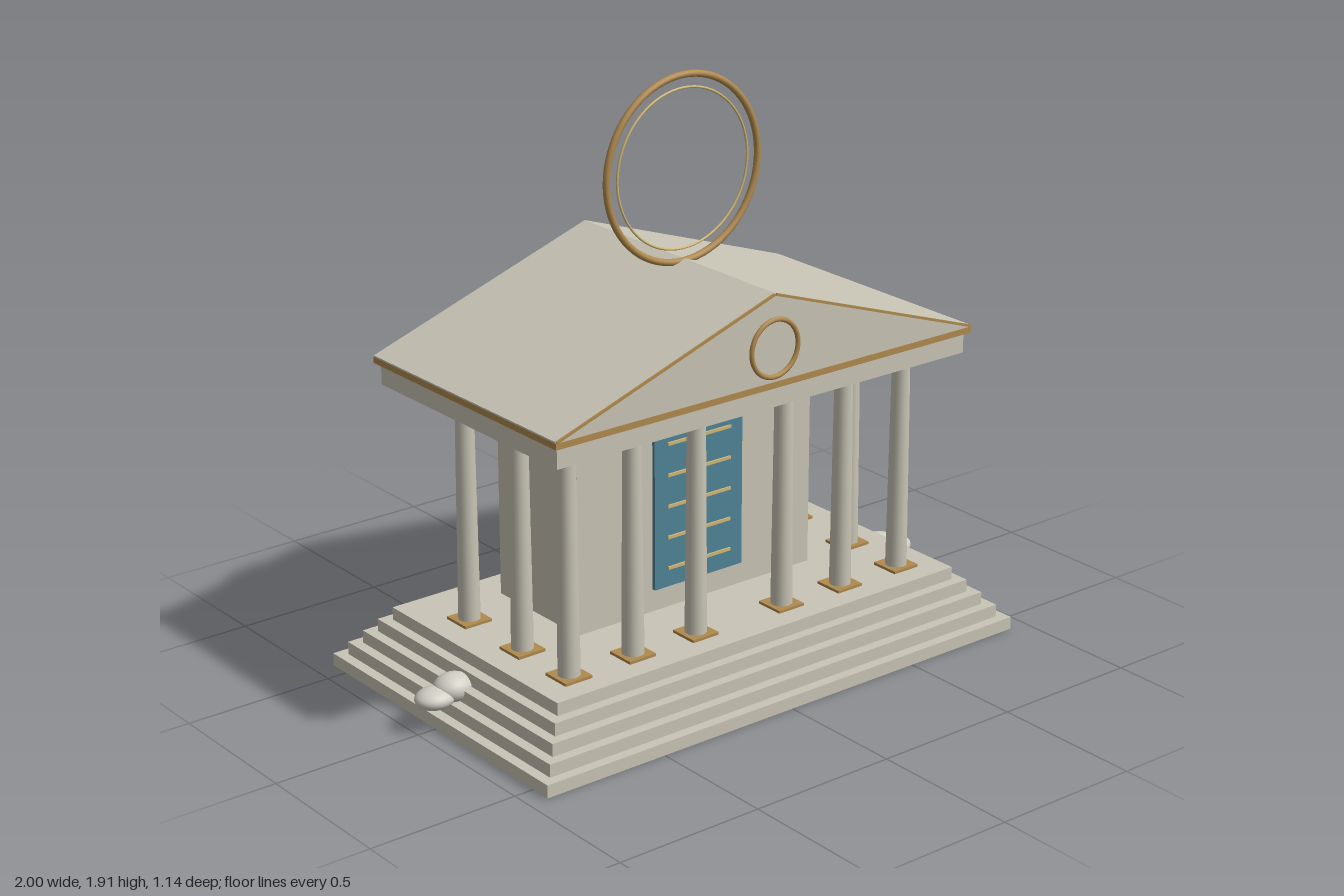
import * as THREE from 'three';

export function createModel() {
  const model = new THREE.Group();
  const mat = (name, color, side = THREE.FrontSide) => {
    const m = new THREE.MeshStandardMaterial({ color, side });
    m.name = name;
    return m;
  };
  const stone = mat('stone', 0xc9c5b6);
  const paleStone = mat('paleStone', 0xd0cec4);
  const gold = mat('gold', 0xb08a4e);
  const paleGold = mat('paleGold', 0xd2b877);
  const teal = mat('teal', 0x4f8496);

  const add = (name, geometry, material, x = 0, y = 0, z = 0) => {
    const mesh = new THREE.Mesh(geometry, material);
    mesh.name = name;
    mesh.position.set(x, y, z);
    model.add(mesh);
    return mesh;
  };
  // Box given by its width, depth and bottom/top heights
  const slab = (name, material, w, d, y0, y1, x = 0, z = 0) =>
    add(name, new THREE.BoxGeometry(w, y1 - y0, d), material, x, (y0 + y1) / 2, z);

  // Stepped platform
  for (let i = 0; i < 5; i++) {
    slab('step' + (i + 1), stone, 1.868 - i * 0.07, 1.142 - i * 0.0685, i * 0.042, (i + 1) * 0.042);
  }

  // Inner chamber
  slab('chamber', stone, 0.93, 0.41, 0.21, 0.952, 0, -0.105);

  // Door with horizontal bars
  slab('door', teal, 0.35, 0.012, 0.285, 0.902, 0, 0.106);
  for (let i = 0; i < 6; i++) {
    const y = 0.348 + i * 0.104;
    slab('doorBar', paleGold, 0.25, 0.008, y - 0.005, y + 0.005, 0, 0.114);
  }

  // Tapered columns: six across the front, two more along each side
  const shaft = new THREE.CylinderGeometry(0.029, 0.035, 0.735, 20);
  const spots = [];
  for (const s of [-1, 1]) {
    for (const x of [0.173, 0.418, 0.66]) spots.push([s * x, 0.312]);
    for (const z of [0.075, -0.205]) spots.push([s * 0.66, z]);
  }
  for (const [x, z] of spots) {
    add('column', shaft, stone, x, 0.5845, z);
    slab('columnBase', gold, 0.1, 0.1, 0.21, 0.219, x, z);
    slab('columnCapital', gold, 0.09, 0.09, 0.949, 0.953, x, z);
  }

  // Beam and gilded cornice
  slab('beam', stone, 1.59, 0.9, 0.952, 1.02);
  slab('cornice', gold, 1.62, 0.936, 1.02, 1.04);

  // Gabled roof
  const gable = new THREE.Shape();
  gable.moveTo(-0.81, 1.04);
  gable.lineTo(0.81, 1.04);
  gable.lineTo(0.81, 1.045);
  gable.lineTo(0, 1.32);
  gable.lineTo(-0.81, 1.045);
  const roof = new THREE.ExtrudeGeometry(gable, { depth: 0.932, bevelEnabled: false });
  add('roof', roof, stone, 0, 0, -0.466);

  // Thin trim along the front slopes
  const angle = Math.atan2(0.275, 0.81);
  for (const s of [-1, 1]) {
    const trim = add('gableTrim', new THREE.BoxGeometry(0.85, 0.008, 0.006), gold, s * 0.405, 1.1795, 0.467);
    trim.rotation.z = -s * angle;
  }

  // Round emblem on the gable
  add('gableRing', new THREE.TorusGeometry(0.09, 0.008, 10, 48), gold, 0, 1.148, 0.469);

  // Large double ring standing on the ridge
  add('outerRing', new THREE.TorusGeometry(0.293, 0.011, 12, 72), gold, 0, 1.604, 0.033);
  add('innerRing', new THREE.TorusGeometry(0.252, 0.004, 8, 72), paleGold, 0, 1.604, 0.033);

  // Rounded ornaments at both ends of the steps
  const ball = new THREE.SphereGeometry(1, 28, 18);
  for (const s of [-1, 1]) {
    add('outerKnob', ball, paleStone, s * 0.934, 0.105, 0).scale.set(0.066, 0.034, 0.056);
    add('innerKnob', ball, paleStone, s * 0.868, 0.122, 0).scale.set(0.065, 0.045, 0.056);
  }

  return model;
}
